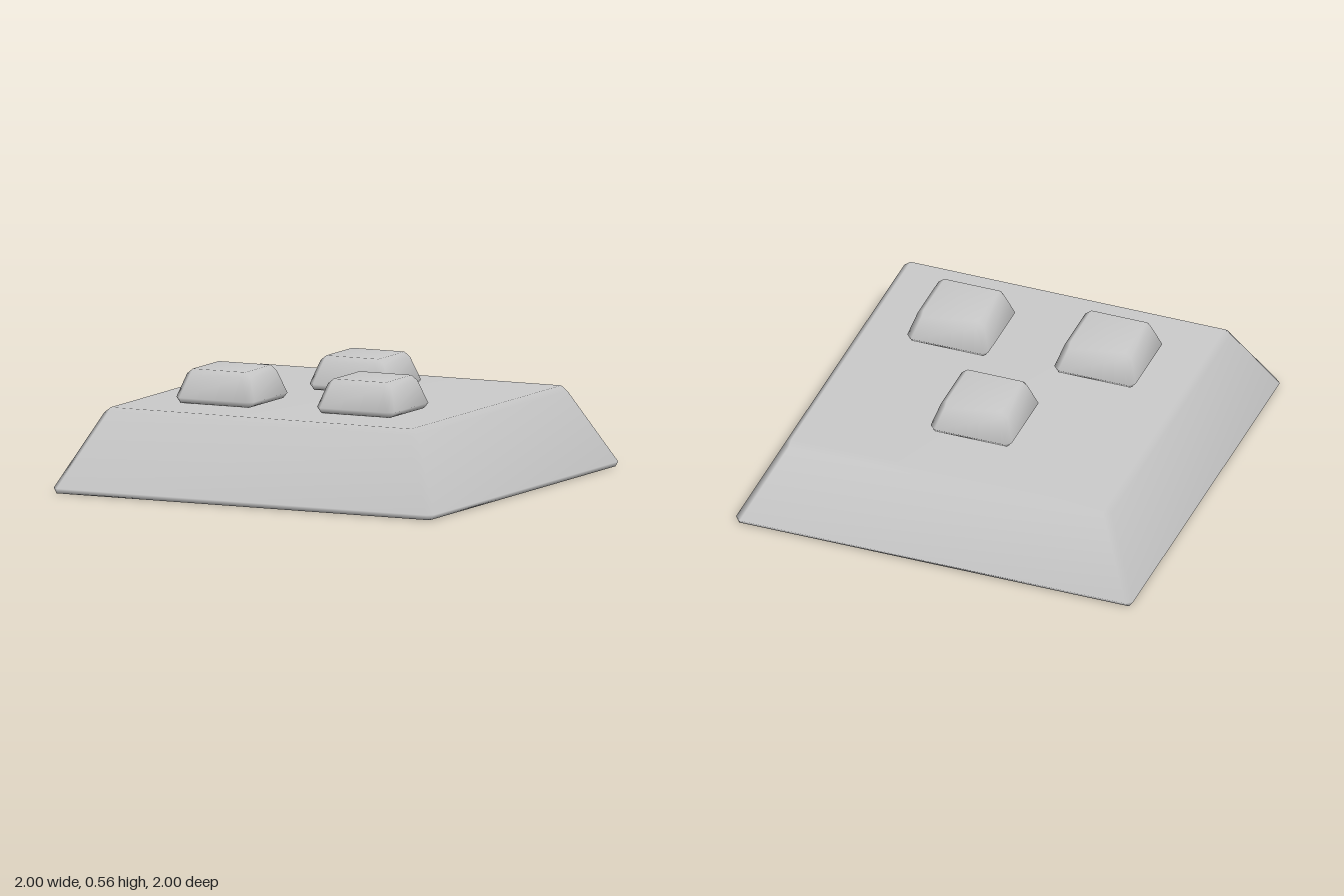
import * as THREE from 'three';
import { mergeVertices } from 'three/addons/utils/BufferGeometryUtils.js';

// Tapered square block with one-step bevels on all edges and smooth normals.
// Each ring is [y, half width, corner cut], listed from bottom to top.
function bevelledBlock(rings) {
  const positions = [];
  for (const [y, h, cut] of rings) {
    const s = h - cut;
    const outline = [[h, s], [h, -s], [s, -h], [-s, -h], [-h, -s], [-h, s], [-s, h], [s, h]];
    for (const [x, z] of outline) positions.push(x, y, z);
  }

  const index = [];
  for (let r = 0; r < rings.length - 1; r++) {
    for (let i = 0; i < 8; i++) {
      const a = r * 8 + i, b = r * 8 + (i + 1) % 8;
      index.push(a, b, b + 8, a, b + 8, a + 8);
    }
  }
  // Flat caps
  const top = (rings.length - 1) * 8;
  for (let i = 1; i < 7; i++) {
    index.push(top, top + i, top + i + 1);
    index.push(0, i + 1, i);
  }

  let geometry = new THREE.BufferGeometry();
  geometry.setAttribute('position', new THREE.Float32BufferAttribute(positions, 3));
  geometry.setIndex(index);
  geometry = mergeVertices(geometry);

  // Drop the collapsed triangles where a ring has sharp corners
  const merged = geometry.index.array;
  const kept = [];
  for (let i = 0; i < merged.length; i += 3) {
    const [a, b, c] = [merged[i], merged[i + 1], merged[i + 2]];
    if (a !== b && b !== c && c !== a) kept.push(a, b, c);
  }
  geometry.setIndex(kept);
  geometry.computeVertexNormals();
  return geometry;
}

export function createModel() {
  const model = new THREE.Group();
  model.name = 'buttonPanel';
  const material = new THREE.MeshStandardMaterial({ color: 0xcccccc });

  // Sloped base
  const base = new THREE.Mesh(bevelledBlock([
    [0, 0.98, 0],
    [0.025, 1, 0.03],
    [0.372, 0.822, 0.03],
    [0.397, 0.79, 0],
  ]), material);
  base.name = 'base';
  model.add(base);

  // Three raised buttons
  const buttonGeometry = bevelledBlock([
    [0, 0.18, 0],
    [0.027, 0.205, 0.03],
    [0.136, 0.167, 0.03],
    [0.16, 0.137, 0],
  ]);
  const buttons = [
    ['backButton', 0, -0.31],
    ['frontLeftButton', 0.37, 0.355],
    ['frontRightButton', -0.37, 0.355],
  ];
  for (const [name, x, z] of buttons) {
    const button = new THREE.Mesh(buttonGeometry, material);
    button.name = name;
    button.position.set(x, 0.4, z);
    model.add(button);
  }

  return model;
}
